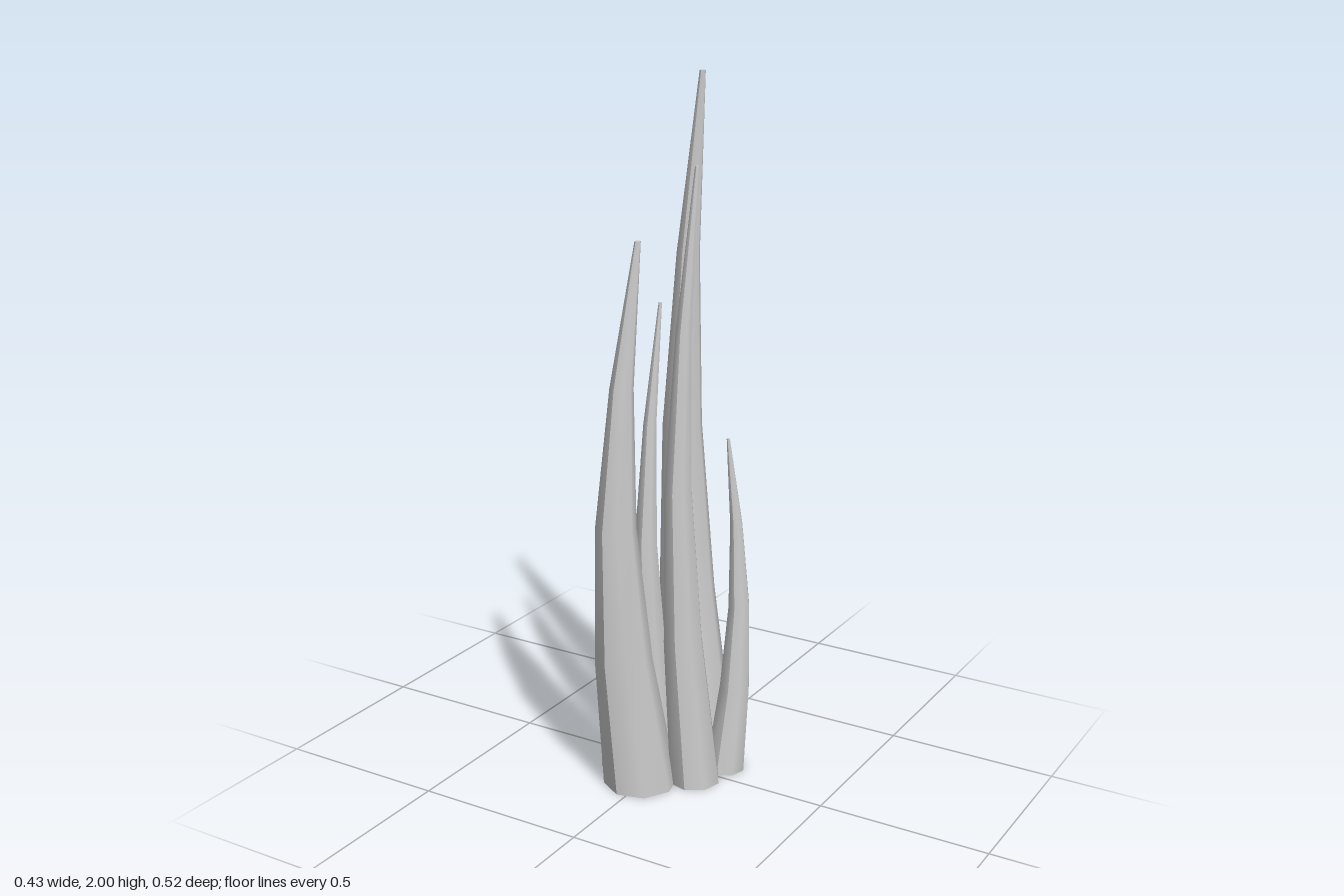
import * as THREE from 'three';

// One tapered eight-sided spike; its axis bows sideways and returns above its base.
function makeSpike({ x, z, r, h, bend, turn }, material) {
  const geometry = new THREE.CylinderGeometry(r * 0.08, r, h, 8, 4);
  geometry.rotateY(THREE.MathUtils.degToRad(turn));
  geometry.translate(0, h / 2, 0);
  const p = geometry.attributes.position;
  for (let i = 0; i < p.count; i++) {
    const bow = Math.sin((Math.PI * p.getY(i)) / h);
    p.setX(i, p.getX(i) + bend[0] * bow);
    p.setZ(i, p.getZ(i) + bend[1] * bow);
  }
  geometry.computeVertexNormals();
  const mesh = new THREE.Mesh(geometry, material);
  mesh.position.set(x, 0, z);
  return mesh;
}

export function createModel() {
  const group = new THREE.Group();
  group.name = 'spikeCluster';
  const material = new THREE.MeshStandardMaterial({ color: 0xcccccc });

  // Base centre, base radius, height, sideways bow (x, z) and turn in degrees
  const spikes = {
    tallBackSpike: { x: 0.018, z: -0.15, r: 0.108, h: 2.0, bend: [-0.061, 0], turn: 0 },
    broadFrontSpike: { x: -0.012, z: 0.136, r: 0.106, h: 1.58, bend: [-0.037, 0.062], turn: -8 },
    leftSpike: { x: 0.115, z: 0.045, r: 0.075, h: 1.775, bend: [-0.033, 0.04], turn: 8 },
    middleSpike: { x: -0.03, z: -0.008, r: 0.063, h: 1.385, bend: [-0.025, 0.04], turn: 10 },
    rightFrontSpike: { x: -0.125, z: 0.077, r: 0.052, h: 1.21, bend: [-0.025, -0.012], turn: 10 },
    rightBackSpike: { x: -0.169, z: -0.064, r: 0.044, h: 0.94, bend: [0.024, 0.012], turn: 8 },
    leftBackSpike: { x: 0.155, z: -0.065, r: 0.059, h: 1.01, bend: [0.026, -0.026], turn: 5 },
  };

  for (const [name, spec] of Object.entries(spikes)) {
    const spike = makeSpike(spec, material);
    spike.name = name;
    group.add(spike);
  }
  return group;
}
